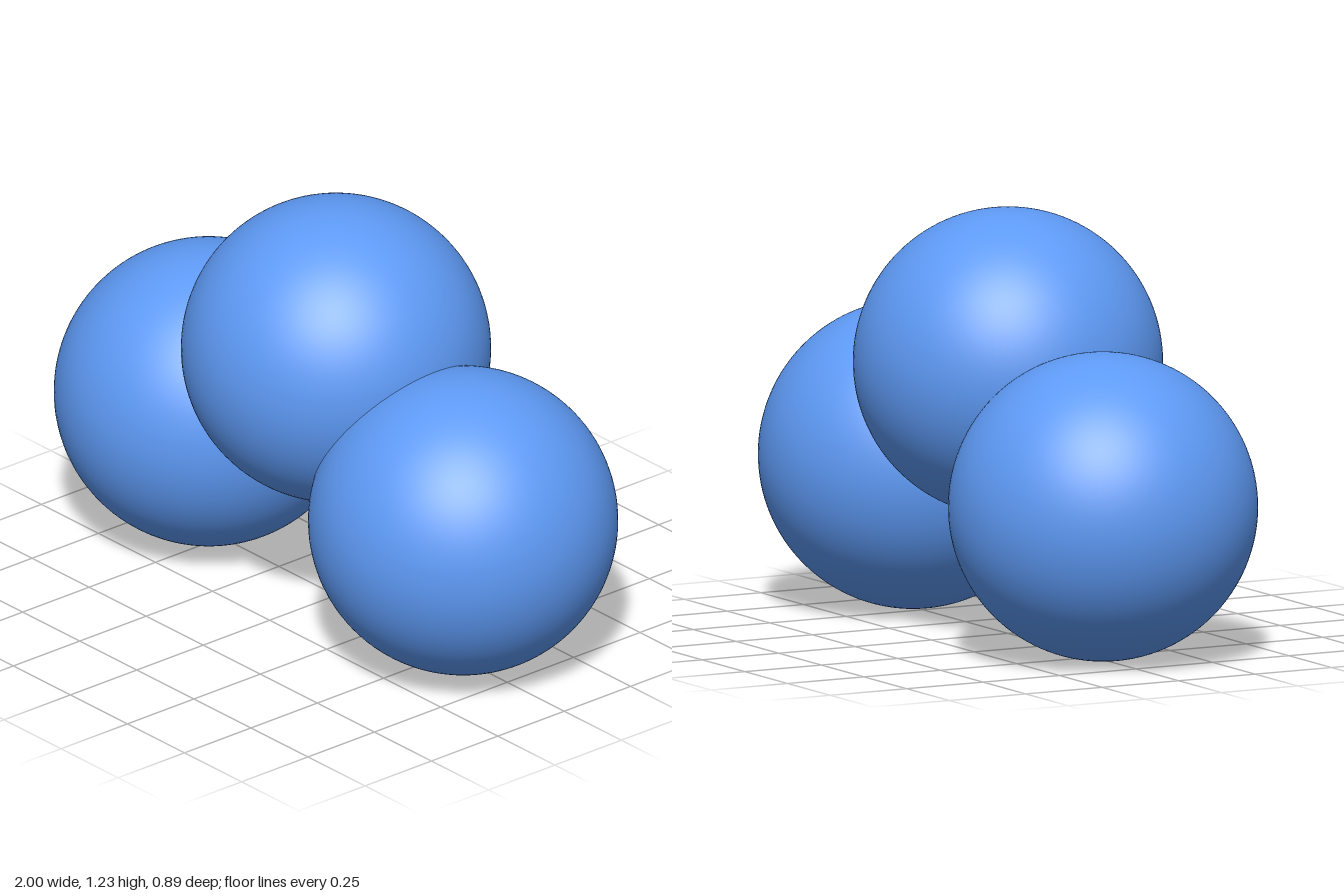
import * as THREE from 'three';

const RADIUS = 0.443;

export function createModel() {
  const group = new THREE.Group();
  group.name = 'threeSpheres';
  const material = new THREE.MeshStandardMaterial({ color: 0x5e9af5 });
  const geometry = new THREE.SphereGeometry(RADIUS, 96, 64);

  // Three equal overlapping balls forming a shallow arch
  const balls = [
    ['rightBall', -0.557, 0.444],
    ['centreBall', 0, 0.787],
    ['leftBall', 0.557, 0.444],
  ];
  for (const [name, x, y] of balls) {
    const ball = new THREE.Mesh(geometry, material);
    ball.name = name;
    ball.position.set(x, y, 0);
    group.add(ball);
  }
  return group;
}
